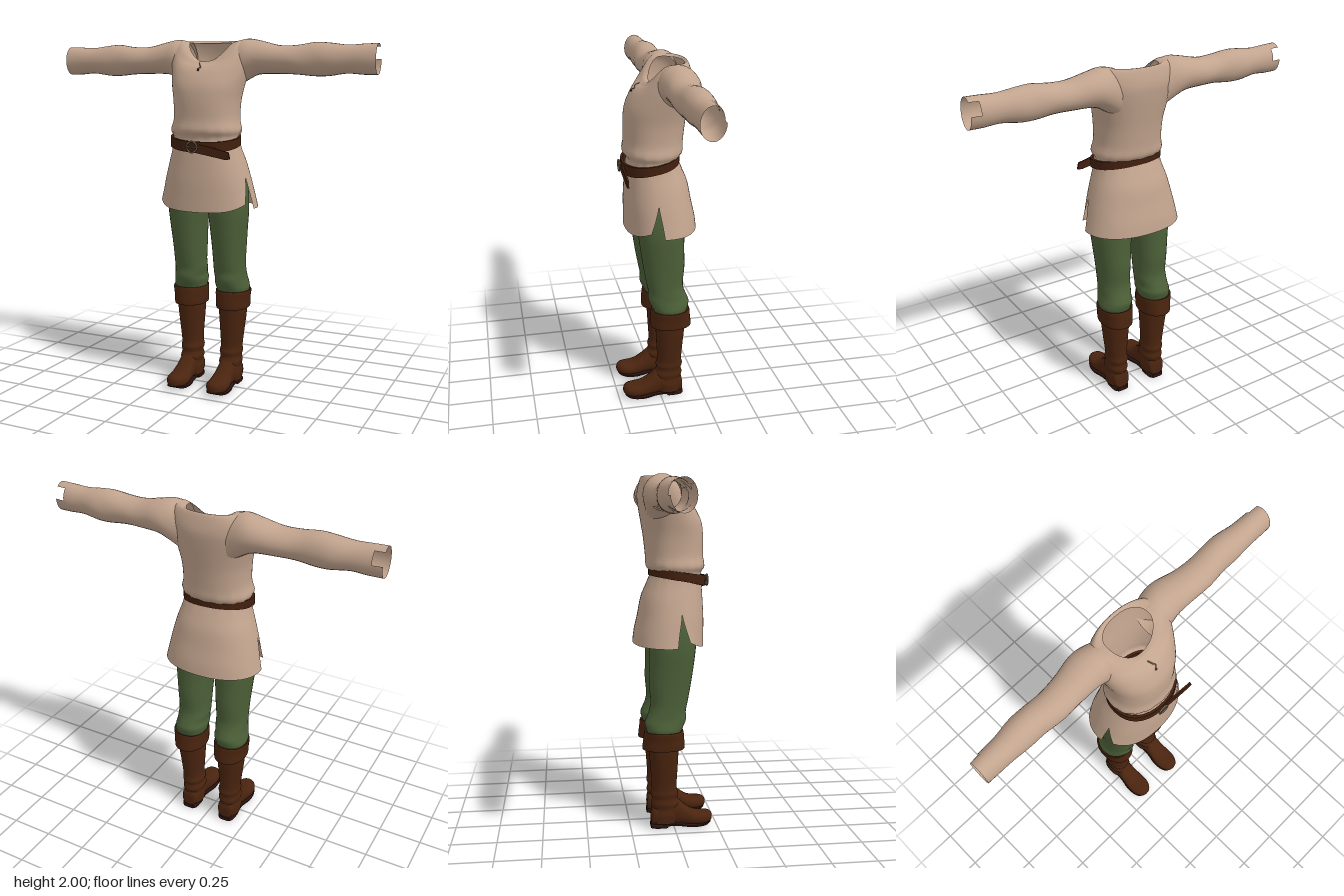
import * as THREE from 'three';
import { mergeVertices, mergeGeometries, toCreasedNormals } from 'three/addons/utils/BufferGeometryUtils.js';

const mat = (name, color) => {
  const m = new THREE.MeshStandardMaterial({ color, side: THREE.DoubleSide });
  m.name = name;
  return m;
};

// Smoothly interpolate rows of section measurements
function sample(rows, steps) {
  const out = [];
  for (let i = 0; i < rows.length - 1; i++) {
    const p = [rows[Math.max(0, i - 1)], rows[i], rows[i + 1], rows[Math.min(rows.length - 1, i + 2)]];
    for (let s = 0; s < steps; s++) {
      const t = s / steps;
      out.push(rows[i].map((_, c) => {
        const [a, b, d, e] = p.map(r => r[c]);
        return b + 0.5 * t * (d - a + t * (2 * a - 5 * b + 4 * d - e + t * (3 * (b - d) + e - a)));
      }));
    }
  }
  out.push(rows[rows.length - 1]);
  return out;
}

// Skin a list of point rings; skip(r, i) leaves openings
function loft(rings, { caps = false, flip = false, skip = () => false } = {}) {
  const n = rings[0].length, pos = [], idx = [];
  const tri = (a, b, c) => (flip ? idx.push(a, c, b) : idx.push(a, b, c));
  rings.forEach(r => r.forEach(p => pos.push(...p)));
  for (let r = 0; r < rings.length - 1; r++) {
    for (let i = 0; i < n - 1; i++) {
      if (skip(r, i)) continue;
      const a = r * n + i, c = a + n;
      tri(a, c, a + 1);
      tri(a + 1, c, c + 1);
    }
  }
  if (caps) {
    [0, rings.length - 1].forEach((r, end) => {
      for (let i = 1; i < n - 2; i++) {
        const a = r * n;
        if (end) tri(a, a + i + 1, a + i); else tri(a, a + i, a + i + 1);
      }
    });
  }
  const g = new THREE.BufferGeometry();
  g.setAttribute('position', new THREE.Float32BufferAttribute(pos, 3));
  g.setIndex(idx);
  return g;
}

const smooth = g => { const m = mergeVertices(g, 1e-5); m.computeVertexNormals(); return m; };
const pw = (v, e) => Math.sign(v) * Math.abs(v) ** e;
const arc = (n, f, a = 0, b = Math.PI * 2) =>
  Array.from({ length: n + 1 }, (_, i) => f(a + (b - a) * i / n));

export function createModel() {
  const group = new THREE.Group();
  const cloth = mat('tan cloth', 0xc2a48e), green = mat('green wool', 0x4c6038);
  const leather = mat('boot leather', 0x4a240f), strap = mat('belt leather', 0x42200f);
  const soleMat = mat('dark sole', 0x2a1210), metal = mat('dull metal', 0x85705c);
  const add = (name, geo, m, parent = group) => {
    const mesh = new THREE.Mesh(geo, m);
    mesh.name = name;
    parent.add(mesh);
    return mesh;
  };

  // Tunic body: [side y, half width, front z, back z, drop of the front]
  const bodyRows = sample([
    [1.065, 0.285, 0.18, -0.22, 0.015], [1.13, 0.27, 0.18, -0.212, 0], [1.22, 0.25, 0.18, -0.192, 0],
    [1.32, 0.222, 0.175, -0.172, 0], [1.40, 0.196, 0.17, -0.14, 0], [1.46, 0.186, 0.165, -0.118, 0],
    [1.50, 0.2, 0.186, -0.142, 0], [1.56, 0.187, 0.178, -0.146, 0], [1.66, 0.19, 0.178, -0.157, 0],
    [1.74, 0.205, 0.168, -0.17, 0], [1.82, 0.222, 0.135, -0.183, 0.01], [1.89, 0.23, 0.105, -0.19, 0.045],
    [1.95, 0.222, 0.08, -0.18, 0.09], [1.99, 0.185, 0.058, -0.165, 0.115], [1.98, 0.132, 0.035, -0.15, 0.105],
  ], 4);
  const slit = 0.16;
  const panel = front => loft(bodyRows.map(([y, w, f, b, drop]) => {
    const t = Math.max(0, Math.min(1, (1.24 - y) / 0.17));
    const [from, to] = front
      ? [slit + 0.28 * t, Math.PI - slit - 0.28 * t]
      : [Math.PI - slit + 0.06 * t, 2 * Math.PI + slit - 0.06 * t];
    return arc(32, a => {
      const c = Math.cos(a), s = Math.sin(a);
      const pleat = 1 + 0.013 * Math.cos(16 * a) * Math.exp(-(((y - 1.46) / 0.06) ** 2));
      const lift = front ? 0.055 * t * t * Math.abs(c) ** 5 : 0;
      return [pw(c, 0.9) * w * pleat, y - drop * Math.max(0, s) ** 2 + lift,
        (f + b) / 2 + pw(s, 0.9) * (f - b) / 2 * pleat];
    }, from, to);
  }));
  add('tunicBody', smooth(mergeGeometries([panel(true), panel(false)])), cloth);

  // Sleeves: [x, bottom y, top y, back z, front z], with a torn notch at the back of the cuff
  const sleeveRows = sample([
    [0.14, 1.73, 1.985, -0.165, 0.03], [0.21, 1.775, 2.0, -0.178, 0.03], [0.28, 1.805, 1.99, -0.178, 0.02],
    [0.40, 1.808, 1.962, -0.158, 0.02], [0.50, 1.805, 1.962, -0.146, 0.02], [0.60, 1.796, 1.976, -0.15, 0.012],
    [0.68, 1.797, 1.972, -0.15, 0.01], [0.78, 1.81, 1.96, -0.135, 0.006], [0.87, 1.804, 1.964, -0.128, 0.003],
    [0.945, 1.803, 1.966, -0.122, 0.002],
  ], 4);
  for (const s of [1, -1]) {
    const rings = sleeveRows.map(([x, y0, y1, z0, z1]) => arc(28, a => {
      const fold = 1 + 0.012 * Math.sin(30 * x + 2 * a);
      return [s * x, (y0 + y1) / 2 + Math.sin(a) * (y1 - y0) / 2, (z0 + z1) / 2 + Math.cos(a) * fold * (z1 - z0) / 2];
    }));
    const torn = (r, i) => r >= rings.length - 4 && i >= 10 && i <= 13;
    add(s > 0 ? 'leftSleeve' : 'rightSleeve', smooth(loft(rings, { flip: s < 0, skip: torn })), cloth);
  }

  // Neck lacing
  const lace = new THREE.CatmullRomCurve3([[-0.012, 1.868, 0.085], [0, 1.858, 0.112], [0.01, 1.845, 0.118],
    [0, 1.838, 0.13], [-0.004, 1.825, 0.136]].map(p => new THREE.Vector3(...p)));
  add('neckLace', new THREE.TubeGeometry(lace, 16, 0.003, 6), cloth);
  add('laceHole', new THREE.SphereGeometry(0.006, 8, 6), strap).position.set(0, 1.83, 0.133);

  // Belt: tilted band hidden by the cloth at the back
  const band = [[-0.024, 0], [-0.024, 0.014], [0.024, 0.014], [0.024, 0], [-0.024, 0]].map(([h, d]) => arc(56, a => {
    const c = Math.cos(a), s = Math.sin(a);
    return [pw(c, 0.9) * (0.186 + d), 1.442 - 0.028 * s - 0.008 * c + h * (1 + 0.25 * Math.max(0, s)),
      0.033 + pw(s, 0.9) * (0.146 + d)];
  }));
  add('belt', toCreasedNormals(loft(band), 0.7), strap);

  // Loose belt end
  const tongue = new THREE.Shape();
  tongue.moveTo(0, 1.435);
  tongue.lineTo(0.11, 1.415);
  tongue.lineTo(0.21, 1.392);
  tongue.lineTo(0.218, 1.355);
  tongue.lineTo(0.19, 1.352);
  tongue.lineTo(0, 1.385);
  add('beltEnd', new THREE.ExtrudeGeometry(tongue, { depth: 0.01, bevelEnabled: false }), strap)
    .position.set(0, 0, 0.188);

  // Buckle
  const buckle = new THREE.Group();
  buckle.name = 'buckle';
  buckle.position.set(-0.005, 1.415, 0.205);
  add('buckleRing', new THREE.TorusGeometry(0.03, 0.005, 8, 24), metal, buckle);
  const pin = add('bucklePin', new THREE.CylinderGeometry(0.004, 0.004, 0.06, 8), metal, buckle);
  pin.rotation.z = Math.PI / 2;
  group.add(buckle);

  // Limb sections: [y, inner x, outer x, front z, back z]
  const limb = (rows, s, e = 0.92) => smooth(loft(sample(rows, 4).map(([y, x0, x1, f, b]) => arc(32, a =>
    [s * (x0 + x1) / 2 + pw(Math.cos(a), e) * (x1 - x0) / 2, y, (f + b) / 2 + pw(Math.sin(a), e) * (f - b) / 2]))));
  const trousers = [
    [0.55, 0.05, 0.215, 0.03, -0.145], [0.585, 0.042, 0.228, 0.045, -0.158], [0.62, 0.036, 0.222, 0.062, -0.166],
    [0.65, 0.04, 0.216, 0.07, -0.156], [0.69, 0.034, 0.214, 0.068, -0.14], [0.74, 0.034, 0.213, 0.078, -0.132],
    [0.84, 0.03, 0.218, 0.096, -0.14], [0.95, 0.022, 0.228, 0.112, -0.137], [1.06, 0.01, 0.236, 0.125, -0.138],
    [1.2, 0, 0.222, 0.135, -0.15], [1.38, 0, 0.165, 0.11, -0.1],
  ];
  const shaft = [
    [0.03, 0.068, 0.186, 0.02, -0.128], [0.08, 0.064, 0.19, 0.035, -0.13], [0.115, 0.068, 0.184, 0.032, -0.126],
    [0.145, 0.06, 0.19, 0.034, -0.132], [0.175, 0.067, 0.185, 0.02, -0.126], [0.205, 0.06, 0.19, 0.024, -0.134],
    [0.24, 0.066, 0.188, 0.015, -0.128], [0.34, 0.06, 0.2, 0.02, -0.134], [0.44, 0.053, 0.212, 0.025, -0.142],
    [0.54, 0.05, 0.216, 0.03, -0.146],
  ];
  const cuff = [
    [0.49, 0.058, 0.208, 0.02, -0.14], [0.472, 0.045, 0.222, 0.052, -0.174], [0.48, 0.041, 0.227, 0.06, -0.18],
    [0.53, 0.038, 0.23, 0.058, -0.174], [0.568, 0.036, 0.236, 0.054, -0.17], [0.578, 0.04, 0.232, 0.048, -0.165],
    [0.565, 0.052, 0.218, 0.032, -0.148],
  ];

  // Foot sections: [z, half width, bottom y, top y]
  const foot = (rows, s, e) => loft(sample(rows, 4).map(([z, w, y0, y1]) => arc(28, a =>
    [s * 0.126 + pw(Math.sin(a), e) * w, (y0 + y1) / 2 + pw(Math.cos(a), e) * (y1 - y0) / 2, z])), { caps: true });
  const upper = [
    [-0.132, 0.028, 0.025, 0.09], [-0.118, 0.05, 0.014, 0.13], [-0.05, 0.057, 0.014, 0.16], [0.015, 0.054, 0.016, 0.165],
    [0.06, 0.056, 0.014, 0.13], [0.11, 0.062, 0.012, 0.096], [0.16, 0.061, 0.012, 0.088], [0.195, 0.048, 0.018, 0.086],
    [0.216, 0.028, 0.028, 0.075], [0.223, 0.006, 0.044, 0.058],
  ];
  const sole = [
    [-0.134, 0.034, 0.0, 0.026], [-0.11, 0.05, 0.0, 0.026], [-0.045, 0.052, 0.0, 0.026], [-0.03, 0.048, 0.011, 0.026],
    [0.03, 0.05, 0.01, 0.026], [0.1, 0.063, 0.005, 0.022], [0.16, 0.06, 0.007, 0.024], [0.195, 0.046, 0.014, 0.03],
    [0.213, 0.026, 0.024, 0.036],
  ];
  for (const s of [1, -1]) {
    const leg = new THREE.Group();
    leg.name = s > 0 ? 'leftLeg' : 'rightLeg';
    add('trouserLeg', limb(trousers, s), green, leg);
    add('bootShaft', limb(shaft, s), leather, leg);
    add('bootCuff', limb(cuff, s), leather, leg);
    add('bootFoot', smooth(foot(upper, s, 0.85)), leather, leg);
    add('bootSole', toCreasedNormals(foot(sole, s, 0.4), 0.7), soleMat, leg);
    group.add(leg);
  }
  return group;
}
